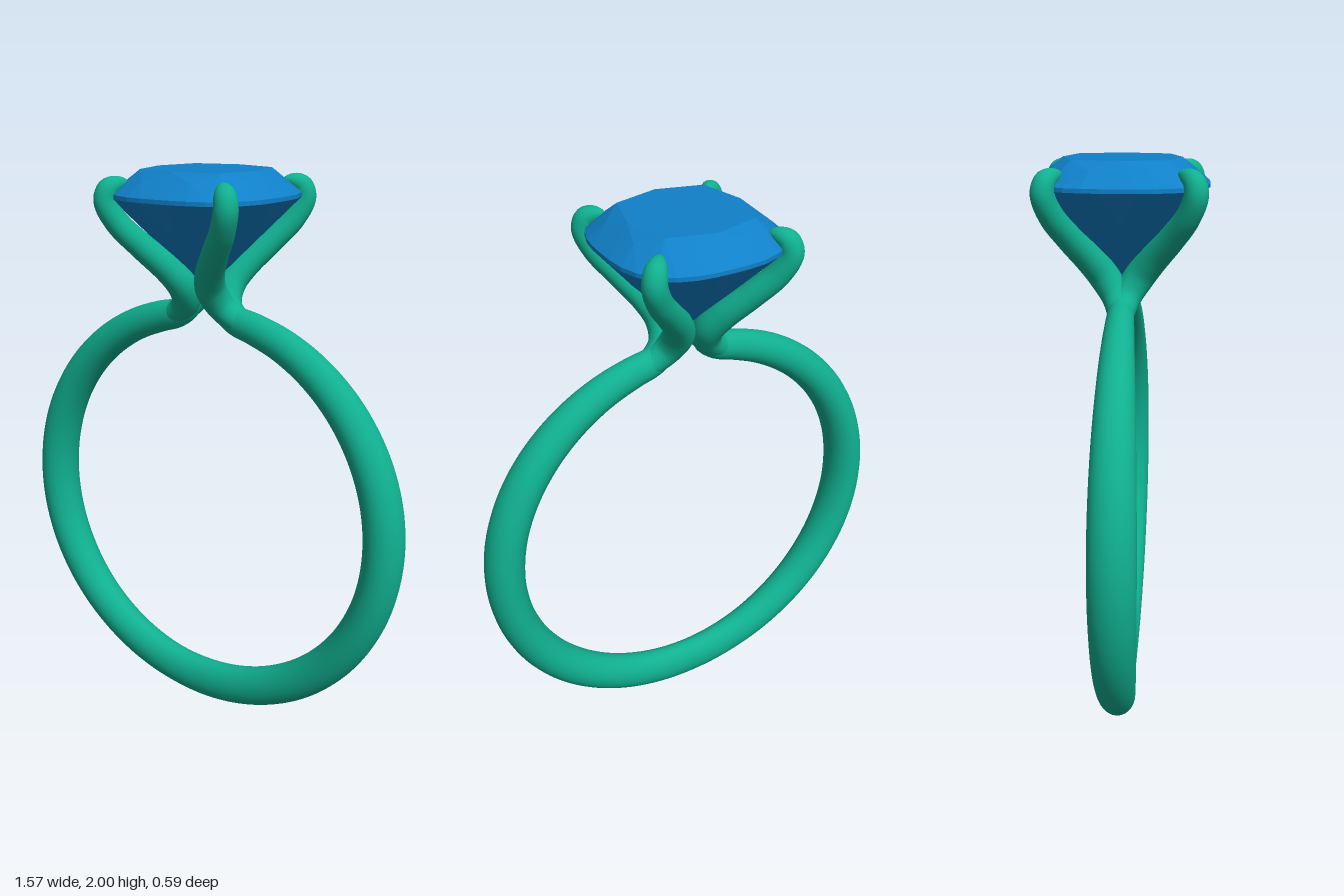
import * as THREE from 'three';
import { ConvexGeometry } from 'three/addons/geometries/ConvexGeometry.js';

// Sweeps an elliptical section along a smooth path.
// Each station is [x, y, z, r1, r2]: position, then the two section radii.
function sweep(stations, steps, sides) {
  const path = new THREE.CatmullRomCurve3(stations.map(s => new THREE.Vector3(s[0], s[1], s[2])));
  path.arcLengthDivisions = 1000;
  const radii = new THREE.CatmullRomCurve3(stations.map(s => new THREE.Vector3(s[3], s[4], 0)));
  const { normals, binormals } = path.computeFrenetFrames(steps, false);
  const pos = [], index = [];
  for (let i = 0; i <= steps; i++) {
    const t = path.getUtoTmapping(i / steps);
    const c = path.getPoint(t), r = radii.getPoint(t);
    for (let j = 0; j < sides; j++) {
      const a = (j / sides) * Math.PI * 2;
      const p = c.clone()
        .addScaledVector(normals[i], Math.cos(a) * Math.max(r.x, 0.0005))
        .addScaledVector(binormals[i], Math.sin(a) * Math.max(r.y, 0.0005));
      pos.push(p.x, p.y, p.z);
      if (i < steps) {
        const k = (j + 1) % sides, n = i * sides;
        index.push(n + j, n + k, n + sides + j, n + k, n + sides + k, n + sides + j);
      }
    }
  }
  const g = new THREE.BufferGeometry();
  g.setAttribute('position', new THREE.Float32BufferAttribute(pos, 3));
  g.setIndex(index);
  g.computeVertexNormals();
  return g;
}

// Band: open circle, widest at the sides, with both ends curling up into the neck
function bandGeometry() {
  const cy = 0.79, R = 0.716;
  const end = [[0.064, 1.575, 0, 0, 0], [0.066, 1.56, 0, 0.034, 0.04], [0.08, 1.53, 0, 0.042, 0.048], [0.125, 1.499, 0, 0.045, 0.052]];
  const stations = [...end];
  for (let deg = 16; deg <= 344; deg += 8.2) {
    const a = THREE.MathUtils.degToRad(deg);
    const s = Math.abs(Math.sin(a)), up = Math.cos(a);
    const width = (up > 0 ? 0.041 : 0.052) + (up > 0 ? 0.037 : 0.026) * Math.pow(s, 1.3);
    const depth = (up > 0 ? 0.05 : 0.077) + (up > 0 ? 0.019 : -0.008) * s;
    stations.push([Math.sin(a) * R, cy + up * R, 0, width, depth]);
  }
  for (const e of end.slice().reverse()) stations.push([-e[0], ...e.slice(1)]);
  return sweep(stations, 260, 28);
}

// Prong: leaves the shoulder, splits to one corner and hooks over the stone
function prongGeometry(sx, sz) {
  const pts = [
    [0.20, 1.477, 0, 0.036], [0.125, 1.502, 0.003, 0.045], [0.073, 1.547, 0.02, 0.05],
    [0.058, 1.61, 0.06, 0.053], [0.085, 1.67, 0.105, 0.05], [0.148, 1.75, 0.168, 0.045],
    [0.21, 1.83, 0.22, 0.042], [0.238, 1.9, 0.243, 0.04], [0.23, 1.938, 0.235, 0.037],
    [0.208, 1.955, 0.211, 0.026], [0.19, 1.958, 0.191, 0.011], [0.184, 1.957, 0.185, 0],
  ];
  return sweep(pts.map(([x, y, z, r]) => [x * sx, y, z * sz, r, r]), 90, 20);
}

// Faceted cushion-cut stone: the hull of a few rounded-square rings
function stoneGeometry() {
  const points = [];
  const ring = (y, r, count, power, turn = 0) => {
    for (let i = 0; i < count; i++) {
      const a = ((i + turn) / count) * Math.PI * 2;
      const c = Math.cos(a), s = Math.sin(a);
      const k = r / Math.pow(Math.abs(c) ** power + Math.abs(s) ** power, 1 / power);
      points.push(new THREE.Vector3(c * k, y, s * k));
    }
  };
  ring(2.0, 0.2, 8, 2.9);          // table
  ring(1.972, 0.238, 8, 2.5, 0.5); // crown
  ring(1.922, 0.293, 32, 2.76);    // girdle
  ring(1.908, 0.293, 32, 2.76);
  ring(1.79, 0.19, 8, 2.4);        // pavilion
  ring(1.612, 0.016, 8, 2);        // culet
  points.push(new THREE.Vector3(0, 1.605, 0));
  return new ConvexGeometry(points);
}

export function createModel() {
  const model = new THREE.Group();
  model.name = 'ring';
  const metal = new THREE.MeshStandardMaterial({ color: 0x10b090 });
  const gem = new THREE.MeshStandardMaterial({ color: 0x1080c8, flatShading: true });
  const add = (name, geometry, material) => {
    const mesh = new THREE.Mesh(geometry, material);
    mesh.name = name;
    model.add(mesh);
  };

  add('band', bandGeometry(), metal);
  for (const sx of [1, -1]) {
    for (const sz of [1, -1]) {
      add(`${sz > 0 ? 'front' : 'back'}${sx > 0 ? 'Left' : 'Right'}Prong`, prongGeometry(sx, sz), metal);
    }
  }
  add('stone', stoneGeometry(), gem);
  return model;
}
